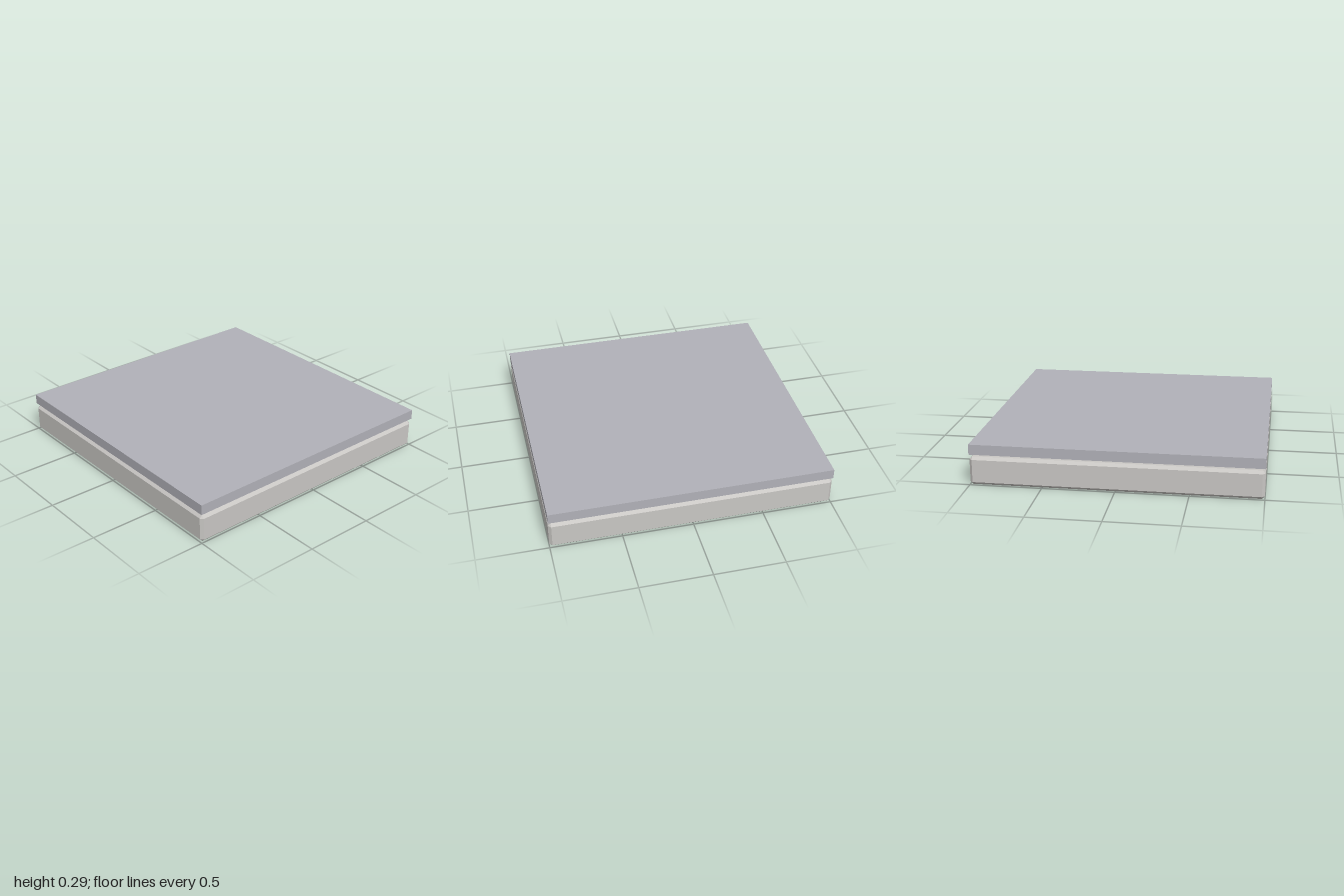
import * as THREE from 'three';

// Square ring at height y with half-width h and corner cut c, counter-clockwise from above
function ring([h, y, c]) {
  const pts = [];
  for (let q = 0; q < 4; q++) {
    for (const [u, v] of [[h, h - c], [h - c, h]]) {
      const p = new THREE.Vector3(u, y, -v);
      pts.push(p.applyAxisAngle(new THREE.Vector3(0, 1, 0), q * Math.PI / 2));
    }
  }
  return pts;
}

// Joins successive rings into a flat-faced skin, leaving out zero-area triangles
function loft(profile) {
  const rings = profile.map(ring);
  const pos = [];
  const tri = (a, b, c) => {
    if (new THREE.Triangle(a, b, c).getArea() > 1e-7) {
      for (const p of [a, b, c]) pos.push(p.x, p.y, p.z);
    }
  };
  for (let k = 0; k < rings.length - 1; k++) {
    const a = rings[k], b = rings[k + 1];
    for (let i = 0; i < 8; i++) {
      const j = (i + 1) % 8;
      tri(a[i], b[i], b[j]);
      tri(a[i], b[j], a[j]);
    }
  }
  const g = new THREE.BufferGeometry();
  g.setAttribute('position', new THREE.Float32BufferAttribute(pos, 3));
  g.computeVertexNormals();
  return g;
}

export function createModel() {
  const model = new THREE.Group();
  model.name = 'floorTile';

  const baseMat = new THREE.MeshStandardMaterial({ color: 0xc9c7c4 });
  baseMat.name = 'warmLightGrey';
  const slabMat = new THREE.MeshStandardMaterial({ color: 0xb1b1b8 });
  slabMat.name = 'coolGrey';

  function add(name, geometry, material, x = 0, y = 0, z = 0) {
    const mesh = new THREE.Mesh(geometry, material);
    mesh.name = name;
    mesh.position.set(x, y, z);
    model.add(mesh);
  }

  // Chamfered base, hollowed from below with a chamfered lip: [half-width, y, corner cut]
  add('base', loft([
    [0, 0.2, 0],
    [0.98, 0.2, 0],
    [1, 0.18, 0.02],
    [1, 0.02, 0.02],
    [0.98, 0, 0],
    [0.86, 0, 0],
    [0.84, 0.02, 0],
    [0.84, 0.08, 0],
    [0, 0.08, 0],
  ]), baseMat);

  // Crossing ribs under the base
  for (const s of [-0.28, 0.28]) {
    add('ribAlongX', new THREE.BoxGeometry(1.68, 0.025, 0.02), baseMat, 0, 0.0685, s);
    add('ribAlongZ', new THREE.BoxGeometry(0.02, 0.025, 1.68), baseMat, s, 0.0685, 0);
  }

  // Top slab, held just clear of the base
  add('topSlab', new THREE.BoxGeometry(2, 0.072, 2), slabMat, 0, 0.253, 0);

  return model;
}
